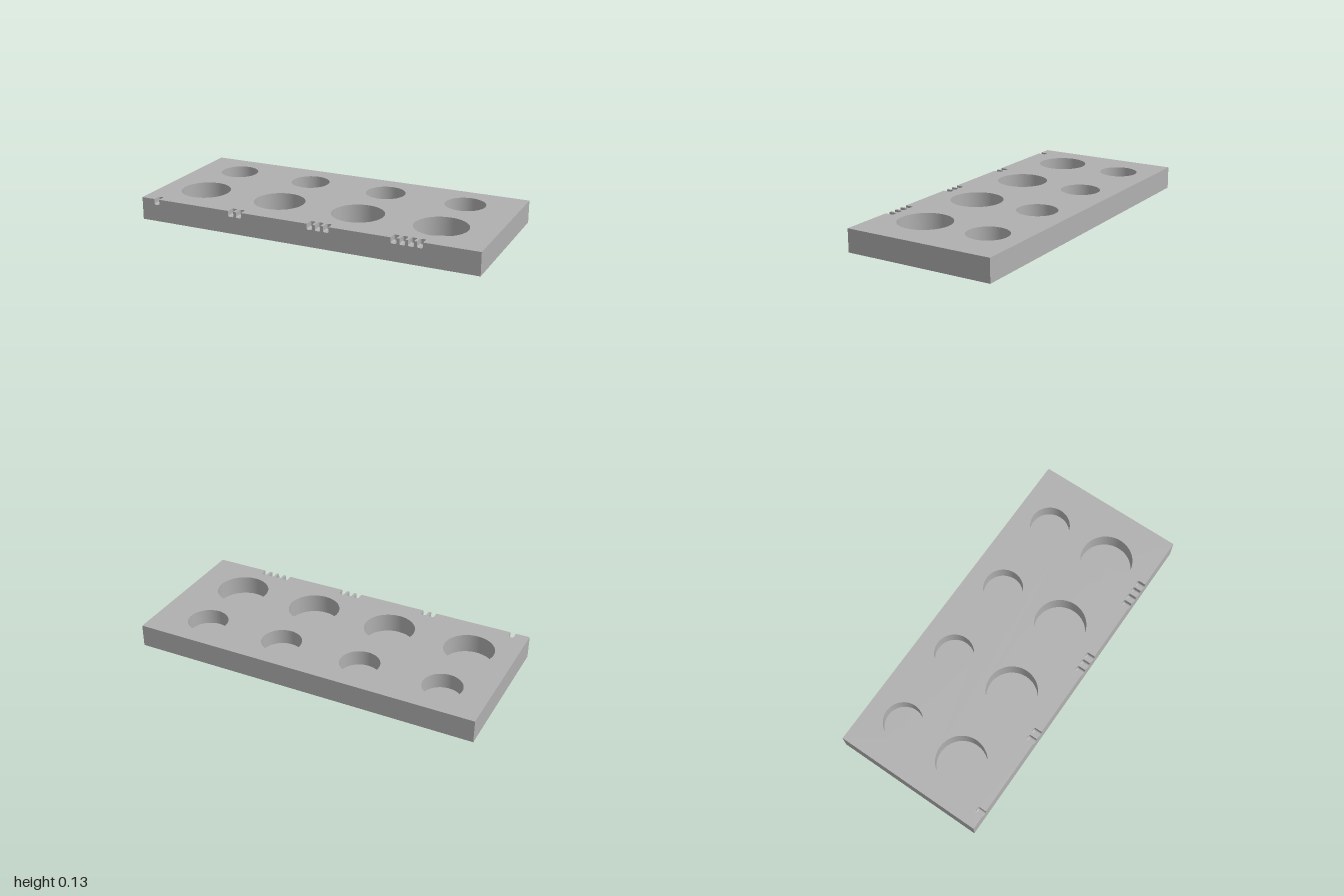
import * as THREE from 'three';
import { RoundedBoxGeometry } from 'three/addons/geometries/RoundedBoxGeometry.js';

const W = 2, H = 0.13, D = 0.868;                        // slab size
const NOTCH = { w: 0.032, h: 0.033, d: 0.047, r: 0.009 };
const columns = [-0.74, -0.262, 0.217, 0.695];
const wells = columns.flatMap((x, i) => [
  { name: 'smallWell', x, z: -0.22, r: 0.11 + i * 0.0018, depth: 0.087 },
  { name: 'largeWell', x, z: 0.17, r: 0.1415 + i * 0.0028, depth: 0.108 },
]);
// one to four counting notches in front of the columns
const notches = [-0.904, -0.425, 0.053, 0.532].flatMap((x, i) =>
  Array.from({ length: i + 1 }, (_, k) => x + k * 0.048));

// Rectangle whose lower edge is cut by round-cornered notches
function notchedRect(w, h, xs, depth) {
  const s = new THREE.Shape(), y = -h / 2, half = NOTCH.w / 2, r = NOTCH.r;
  s.moveTo(-w / 2, y);
  for (const x of xs) {
    s.lineTo(x - half, y);
    s.absarc(x - half + r, y + depth - r, r, Math.PI, Math.PI / 2, true);
    s.absarc(x + half - r, y + depth - r, r, Math.PI / 2, 0, true);
    s.lineTo(x + half, y);
  }
  s.lineTo(w / 2, y);
  s.lineTo(w / 2, h / 2);
  s.lineTo(-w / 2, h / 2);
  s.closePath();
  return s;
}

// Turn a surface inside out, dropping triangles that keep() rejects
function insideOut(source, keep = () => true) {
  const g = source.index ? source.toNonIndexed() : source;
  const p = g.attributes.position, n = g.attributes.normal, pos = [], nor = [];
  for (let i = 0; i < p.count; i += 3) {
    const order = [i, i + 2, i + 1];
    if (!keep(order.map(k => new THREE.Vector3().fromBufferAttribute(p, k)))) continue;
    for (const k of order) {
      pos.push(p.getX(k), p.getY(k), p.getZ(k));
      nor.push(-n.getX(k), -n.getY(k), -n.getZ(k));
    }
  }
  const out = new THREE.BufferGeometry();
  out.setAttribute('position', new THREE.Float32BufferAttribute(pos, 3));
  out.setAttribute('normal', new THREE.Float32BufferAttribute(nor, 3));
  return out;
}

// Lining of a notch: the lower back quarter of a rounded box, seen from inside
function notchGeometry() {
  const g = new RoundedBoxGeometry(NOTCH.w, NOTCH.h * 2, NOTCH.d * 2, 3, NOTCH.r);
  const p = g.attributes.position;
  for (let i = 0; i < p.count; i++) {
    p.setY(i, Math.min(p.getY(i), 0));
    p.setZ(i, Math.min(p.getZ(i), 0));
  }
  return insideOut(g, t => !t.every(v => v.y === 0) && !t.every(v => v.z === 0));
}

export function createModel() {
  const model = new THREE.Group();
  model.name = 'wellTray';
  const grey = new THREE.MeshStandardMaterial({ color: 0xb0b0b0 });
  grey.name = 'grey';
  const add = (name, geometry, x, y, z) => {
    const mesh = new THREE.Mesh(geometry, grey);
    mesh.name = name;
    mesh.position.set(x, y, z);
    model.add(mesh);
  };

  // top with well openings
  const top = notchedRect(W, D, notches, NOTCH.d);
  for (const { x, z, r } of wells)
    top.holes.push(new THREE.Path().absarc(x, -z, r, 0, Math.PI * 2, true));
  add('topFace', new THREE.ShapeGeometry(top, 32).rotateX(-Math.PI / 2), 0, H, 0);

  // front, drawn upside down and turned so the notches meet the top edge
  const flipped = notches.map(x => -x).reverse();
  const front = notchedRect(W, H, flipped, NOTCH.h);
  add('frontFace', new THREE.ShapeGeometry(front, 32).rotateZ(Math.PI), 0, H / 2, D / 2);

  // plain sides and underside
  add('backFace', new THREE.PlaneGeometry(W, H).rotateY(Math.PI), 0, H / 2, -D / 2);
  for (const s of [-1, 1])
    add(s > 0 ? 'leftFace' : 'rightFace',
      new THREE.PlaneGeometry(D, H).rotateY(s * Math.PI / 2), s * W / 2, H / 2, 0);
  add('underside', new THREE.PlaneGeometry(W, D).rotateX(Math.PI / 2), 0, 0, 0);

  // round wells
  for (const { name, x, z, r, depth } of wells) {
    const wall = new THREE.CylinderGeometry(r, r, depth, 64, 1, true);
    add(name + 'Wall', insideOut(wall), x, H - depth / 2, z);
    add(name + 'Floor', new THREE.CircleGeometry(r, 64).rotateX(-Math.PI / 2), x, H - depth, z);
  }

  // counting notches
  const lining = notchGeometry();
  for (const x of notches) add('notch', lining, x, H, D / 2);
  return model;
}
